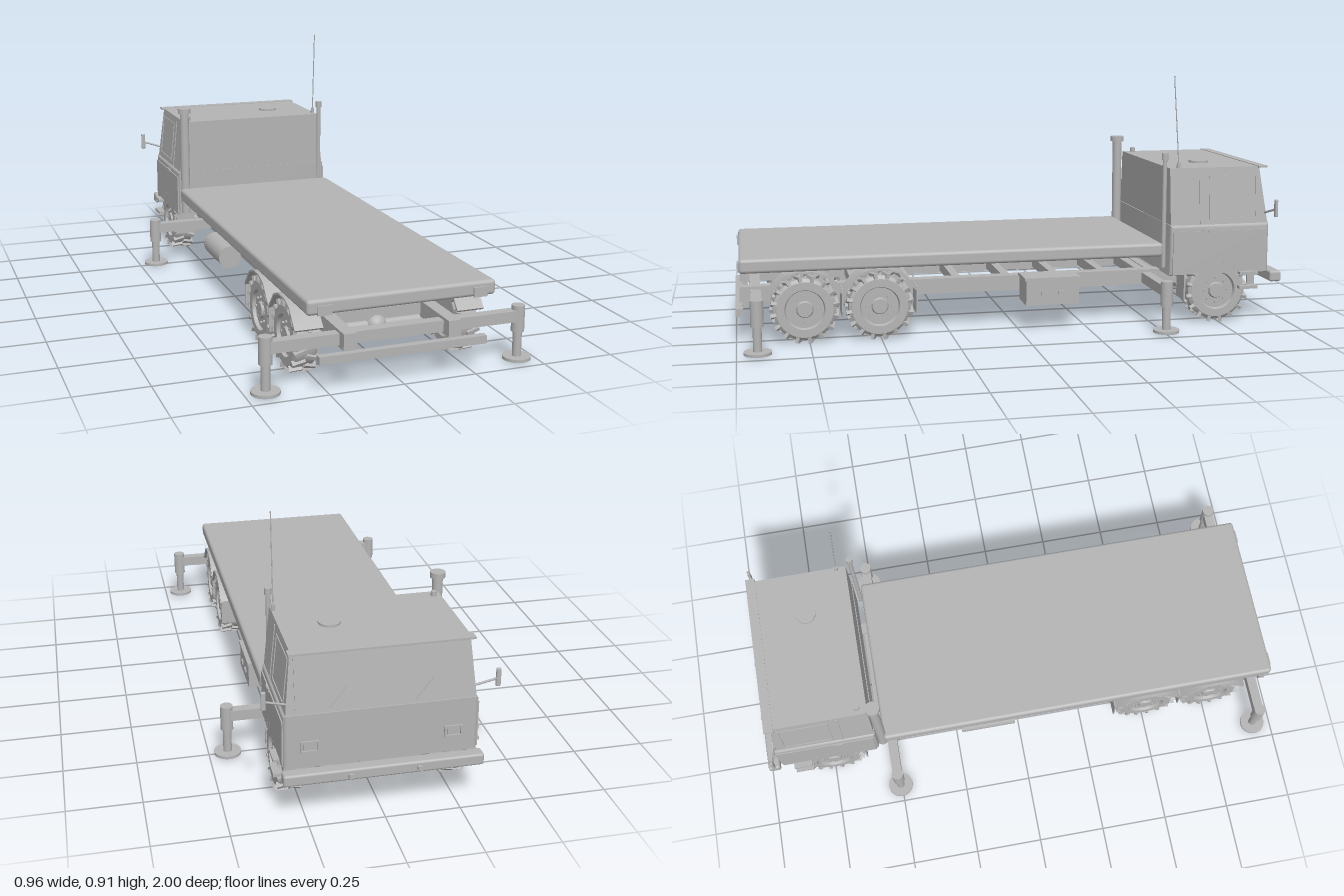
import * as THREE from 'three';
import { toCreasedNormals } from 'three/addons/utils/BufferGeometryUtils.js';
import { RoundedBoxGeometry } from 'three/addons/geometries/RoundedBoxGeometry.js';
import { ConvexGeometry } from 'three/addons/geometries/ConvexGeometry.js';

const grey = new THREE.MeshStandardMaterial({ color: 0xb4b4b4 });
grey.name = 'plain grey';

export function createModel() {
  const truck = new THREE.Group();
  truck.name = 'flatbedTruck';

  function add(name, geo, x = 0, y = 0, z = 0, parent = truck) {
    const m = new THREE.Mesh(geo, grey);
    m.name = name;
    m.position.set(x, y, z);
    parent.add(m);
    return m;
  }
  // box given by its ranges
  const box = (name, x0, x1, y0, y1, z0, z1, parent) =>
    add(name, new THREE.BoxGeometry(Math.abs(x1 - x0), y1 - y0, z1 - z0), (x0 + x1) / 2, (y0 + y1) / 2, (z0 + z1) / 2, parent);
  const rounded = (name, x0, x1, y0, y1, z0, z1, r) =>
    add(name, new RoundedBoxGeometry(x1 - x0, y1 - y0, z1 - z0, 3, r), (x0 + x1) / 2, (y0 + y1) / 2, (z0 + z1) / 2);
  // upright cylinder
  const post = (name, r, y0, y1, x, z, parent, n = 20) =>
    add(name, new THREE.CylinderGeometry(r, r, y1 - y0, n), x, (y0 + y1) / 2, z, parent);
  // rod between two points
  function rod(name, a, b, r, n = 10) {
    const p = new THREE.Vector3(...a), q = new THREE.Vector3(...b), d = q.clone().sub(p);
    const m = add(name, new THREE.CylinderGeometry(r, r, d.length(), n));
    m.position.copy(p).add(q).multiplyScalar(0.5);
    m.quaternion.setFromUnitVectors(new THREE.Vector3(0, 1, 0), d.normalize());
    return m;
  }
  const shapeOf = pts => new THREE.Shape(pts.map(p => new THREE.Vector2(...p)));
  // side profile in (z, y), extruded across x and centred on x = 0
  function across(shape, width, bevel = 0) {
    const depth = width - 2 * bevel;
    const g = new THREE.ExtrudeGeometry(shape, {
      depth, bevelEnabled: bevel > 0, bevelSize: bevel, bevelThickness: bevel,
      bevelOffset: -bevel, bevelSegments: 3, curveSegments: 24,
    });
    g.translate(0, 0, -depth / 2);
    g.rotateY(-Math.PI / 2);
    return toCreasedNormals(g, 0.6);
  }
  const rect = (z0, z1, y0, y1) => shapeOf([[z0, y0], [z1, y0], [z1, y1], [z0, y1]]);
  function frame(z0, z1, y0, y1, t) {
    const s = rect(z0, z1, y0, y1);
    s.holes.push(new THREE.Path([[z0 + t, y0 + t], [z0 + t, y1 - t], [z1 - t, y1 - t], [z1 - t, y0 + t]].map(p => new THREE.Vector2(...p))));
    return s;
  }

  // load deck
  rounded('deck', -0.32, 0.32, 0.255, 0.305, -0.53, 0.985, 0.012);

  // chassis
  for (const s of [-1, 1]) {
    box('frameRail', s * 0.157, s * 0.2, 0.13, 0.185, -0.89, 0.985);
    box('tailLight', s * 0.24, s * 0.287, 0.255, 0.287, 0.984, 0.991);
  }
  for (let i = 0; i < 9; i++) {
    const z = -0.72 + i * 0.185;
    box('crossMember', -0.16, 0.16, 0.14, 0.178, z - 0.015, z + 0.015);
  }
  box('rearGuard', -0.285, 0.285, 0.1, 0.127, 0.975, 1.0);
  for (const s of [-1, 1]) box('guardBracket', s * 0.165, s * 0.185, 0.11, 0.14, 0.955, 0.98);

  // side equipment
  box('toolBox', 0.2, 0.31, 0.095, 0.185, -0.215, -0.02);
  box('toolBoxLid', 0.2, 0.314, 0.185, 0.195, -0.22, -0.015);
  box('toolBoxLatch', 0.31, 0.316, 0.13, 0.145, -0.16, -0.14);
  box('toolBoxLatch', 0.31, 0.316, 0.13, 0.145, -0.095, -0.075);
  const tank = add('airTank', new THREE.CylinderGeometry(0.043, 0.043, 0.21, 28), -0.262, 0.15, -0.125);
  tank.rotation.x = Math.PI / 2;

  // outriggers
  for (const z of [-0.505, 0.93]) {
    box('outriggerBeam', -0.43, 0.43, 0.137, 0.175, z - 0.018, z + 0.018);
    for (const s of [-1, 1]) {
      post('outriggerSleeve', 0.022, 0.1, 0.19, s * 0.435, z);
      post('outriggerLeg', 0.015, 0.012, 0.1, s * 0.435, z);
      post('outriggerFoot', 0.047, 0.005, 0.015, s * 0.435, z, truck, 28);
    }
  }

  // wheels: lathe about the axle, outer face towards +x
  const tyreGeo = toCreasedNormals(new THREE.LatheGeometry([
    [0, -0.03], [0.06, -0.03], [0.07, -0.04], [0.098, -0.04], [0.109, -0.03], [0.109, 0.03], [0.098, 0.039],
    [0.07, 0.039], [0.066, 0.027], [0.03, 0.027], [0.026, 0.036], [0, 0.036],
  ].map(p => new THREE.Vector2(...p)), 36), 0.5);
  tyreGeo.rotateZ(-Math.PI / 2);
  const lugGeo = new THREE.BoxGeometry(0.044, 0.02, 0.012);
  const boltGeo = new THREE.CylinderGeometry(0.005, 0.005, 0.008, 8).rotateZ(Math.PI / 2);
  function wheel(s, z) {
    const w = new THREE.Group();
    w.name = 'wheel';
    w.position.set(s * 0.28, 0.12, z);
    if (s < 0) w.rotation.y = Math.PI;
    truck.add(w);
    add('tyre', tyreGeo, 0, 0, 0, w);
    for (let i = 0; i < 32; i++) {
      const side = i % 2 ? 1 : -1, spoke = new THREE.Group();
      spoke.rotation.x = i * Math.PI / 16;
      const lug = add('treadLug', lugGeo, side * 0.02, 0.109, 0, spoke);
      lug.rotation.y = side * 0.35;
      w.add(spoke);
    }
    for (let i = 0; i < 8; i++) {
      const a = i * Math.PI / 4;
      add('wheelBolt', boltGeo, 0.03, Math.cos(a) * 0.045, Math.sin(a) * 0.045, w);
    }
  }
  const outer = [[-0.13, 0.06], [-0.075, 0.12], [-0.03, 0.135], [0.03, 0.135], [0.075, 0.12], [0.13, 0.06]];
  const guard = shapeOf([...outer, ...outer.map(([z, y]) => [z * 0.96, y - 0.006]).reverse()]);
  for (const z of [-0.74, 0.505, 0.765]) {
    rod('axle', [-0.26, 0.12, z], [0.26, 0.12, z], 0.016, 16);
    add('differential', new THREE.SphereGeometry(0.036, 20, 14), 0, 0.12, z);
    for (const s of [-1, 1]) {
      wheel(s, z);
      if (z > 0) {
        add('mudguard', across(guard, 0.095), s * 0.28, 0.12, z);
        box('mudFlap', s * 0.235, s * 0.325, 0.09, 0.185, z - 0.132, z - 0.127);
      }
    }
  }

  // lower cab with wheel arches hidden behind side skirts
  const lower = shapeOf([[-0.94, 0.18], [-0.875, 0.18], [-0.85, 0.225], [-0.8, 0.25], [-0.68, 0.25], [-0.63, 0.225],
    [-0.605, 0.18], [-0.557, 0.18], [-0.557, 0.368], [-0.94, 0.368]]);
  add('lowerCab', across(lower, 0.636, 0.012));
  rounded('cabFloor', -0.235, 0.235, 0.178, 0.3, -0.93, -0.56, 0.015);
  for (const s of [-1, 1]) {
    box('sideSkirt', s * 0.312, s * 0.322, 0.185, 0.345, -0.93, -0.567);
    box('cabFlap', s * 0.24, s * 0.32, 0.09, 0.185, -0.617, -0.611);
    box('cabStep', s * 0.25, s * 0.343, 0.18, 0.19, -0.89, -0.82);
    box('lowerStep', s * 0.3, s * 0.343, 0.126, 0.137, -0.89, -0.82);
    box('stepHanger', s * 0.3, s * 0.31, 0.13, 0.185, -0.89, -0.862);
    box('sideMarker', s * 0.32, s * 0.326, 0.34, 0.353, -0.72, -0.7);
  }

  // upper cab
  const corners = [];
  for (const s of [-1, 1]) {
    for (const [x, y, z] of [[0.311, 0.362, -0.56], [0.311, 0.362, -0.936], [0.29, 0.575, -0.905], [0.29, 0.575, -0.56]])
      corners.push(new THREE.Vector3(s * x, y, z));
  }
  add('upperCab', new ConvexGeometry(corners));
  const roofLip = across(rect(-0.935, -0.9, 0.57, 0.577), 0.6);
  add('sunVisor', roofLip);

  // plates leaning with the cab sides
  function sidePlate(name, shape, s) {
    const g = across(shape, 0.006), p = g.attributes.position;
    for (let i = 0; i < p.count; i++)
      p.setX(i, p.getX(i) + s * (0.311 - (p.getY(i) - 0.362) * 0.0986));
    g.computeVertexNormals();
    add(name, g);
  }
  for (const s of [-1, 1]) {
    sidePlate('windowFrame', frame(-0.895, -0.71, 0.385, 0.545, 0.006), s);
    sidePlate('doorSeam', rect(-0.678, -0.672, 0.37, 0.56), s);
    box('doorHandle', s * 0.32, s * 0.328, 0.345, 0.352, -0.7, -0.68);
  }

  // windscreen trim, wipers and lamps on the cab nose
  const tilt = Math.atan2(0.031, 0.213);
  const screen = new THREE.Group();
  screen.name = 'windscreen';
  screen.position.set(0, 0.468, -0.9215);
  screen.rotation.x = tilt;
  truck.add(screen);
  add('windscreenPane', new THREE.BoxGeometry(0.56, 0.17, 0.004), 0, 0, 0, screen);
  for (const x of [-0.14, 0.14]) {
    const wiper = add('wiper', new THREE.BoxGeometry(0.005, 0.09, 0.006), x, -0.055, -0.004, screen);
    wiper.rotation.z = 0.7;
  }
  for (const s of [-1, 1]) {
    const ring = across(frame(-0.03, 0.03, -0.02, 0.02, 0.006), 0.008);
    const lamp = add('headlampFrame', ring, s * 0.235, 0.255, -0.942);
    lamp.rotation.y = Math.PI / 2;
    box('headlamp', s * 0.215, s * 0.255, 0.243, 0.267, -0.943, -0.938);
  }
  rounded('bumper', -0.328, 0.328, 0.145, 0.185, -0.99, -0.945, 0.008);
  for (const s of [-1, 1]) {
    box('bumperBracket', s * 0.157, s * 0.2, 0.145, 0.18, -0.95, -0.88);
    box('towHook', s * 0.105, s * 0.12, 0.155, 0.17, -0.998, -0.985);
  }

  // mirrors
  for (const s of [-1, 1]) {
    rod('mirrorArm', [s * 0.3, 0.402, -0.925], [s * 0.378, 0.427, -0.938], 0.004);
    rounded('mirror', s * 0.379 - 0.008, s * 0.379 + 0.008, 0.398, 0.462, -0.943, -0.932, 0.004);
  }

  // roof hatch and fittings
  post('roofHatch', 0.037, 0.573, 0.583, 0.125, -0.73, truck, 32);
  post('roofLamp', 0.01, 0.57, 0.592, -0.265, -0.595);
  post('antennaBase', 0.007, 0.57, 0.595, 0.283, -0.595);
  rod('antenna', [0.283, 0.59, -0.595], [0.283, 0.91, -0.573], 0.002, 6);

  // exhaust stack and air intake behind the cab
  post('exhaustStack', 0.018, 0.2, 0.62, -0.295, -0.538);
  post('exhaustCap', 0.026, 0.617, 0.637, -0.295, -0.538);
  post('intakePipe', 0.008, 0.21, 0.61, 0.29, -0.54);
  post('intakeCap', 0.012, 0.608, 0.632, 0.29, -0.54);

  return truck;
}
